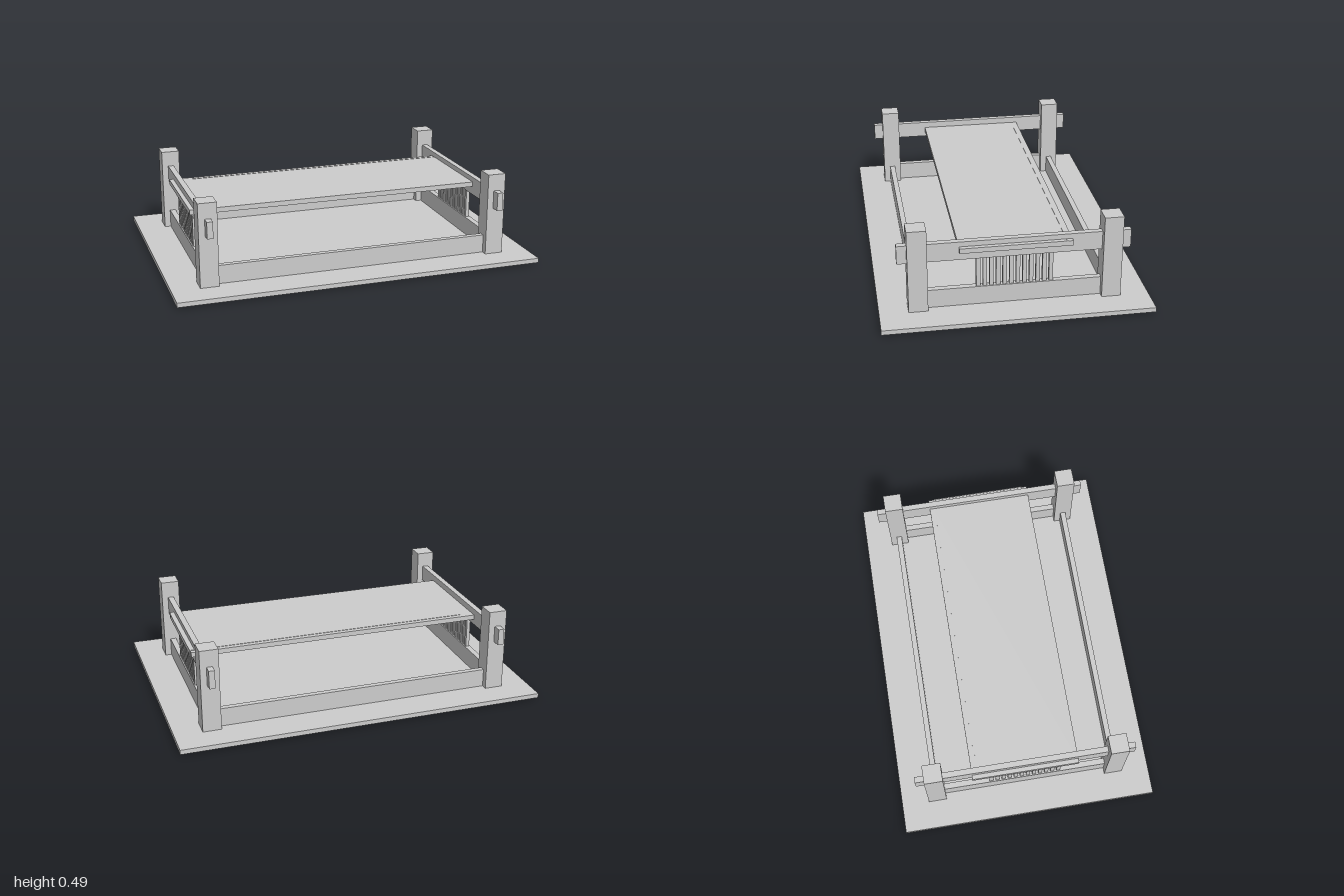
import * as THREE from 'three';

export function createModel() {
  const model = new THREE.Group();
  const material = new THREE.MeshStandardMaterial({ color: 0xcccccc, flatShading: true });

  // Box given by its lower and upper limits on each axis
  function box(name, [x0, x1], [y0, y1], [z0, z1], parent = model) {
    const mesh = new THREE.Mesh(new THREE.BoxGeometry(x1 - x0, y1 - y0, z1 - z0), material);
    mesh.position.set((x0 + x1) / 2, (y0 + y1) / 2, (z0 + z1) / 2);
    mesh.name = name;
    parent.add(mesh);
  }

  // Ground slab on a slightly smaller foot
  const floor = 0.035, railTop = 0.135;
  box('foot', [-0.9, 0.9], [0, 0.01], [-0.6, 0.6]);
  box('basePlate', [-1, 1], [0.01, floor], [-0.7, 0.7]);

  // Corner posts
  for (const x of [-0.8, 0.8]) {
    for (const z of [-0.5, 0.5]) {
      box('post', [x - 0.05, x + 0.05], [floor, 0.49], [z - 0.05, z + 0.05]);
    }
  }

  // Long lower rails, front and back
  for (const z of [-0.5, 0.5]) {
    box('longRail', [-0.75, 0.75], [floor, railTop], [z - 0.015, z + 0.015]);
  }

  // Each end: lower rail, through beam and a row of slats between them
  const slats = 12;
  for (const side of [-1, 1]) {
    const end = new THREE.Group();
    end.name = side > 0 ? 'leftEnd' : 'rightEnd';
    model.add(end);
    const thick = [side * 0.8 - 0.016, side * 0.8 + 0.016];
    const beam = side > 0 ? [0.298, 0.398] : [0.315, 0.405];
    box('endRail', thick, [floor, railTop], [-0.45, 0.45], end);
    box('throughBeam', thick, beam, [-0.6, 0.6], end);
    for (let i = 0; i < slats; i++) {
      const z = -0.188 + (0.376 * i) / (slats - 1);
      box('slat', [side * 0.8 - 0.01, side * 0.8 + 0.01], [railTop, beam[0]], [z - 0.0105, z + 0.0105], end);
    }
  }

  // Table board running through both end beams, with thin edge strips
  box('board', [-0.84, 0.84], [0.344, 0.371], [-0.294, 0.286]);
  box('backStrip', [-0.71, 0.84], [0.346, 0.373], [-0.267, -0.261]);
  box('endStrip', [0.836, 0.843], [0.346, 0.373], [-0.261, 0.257]);

  return model;
}
